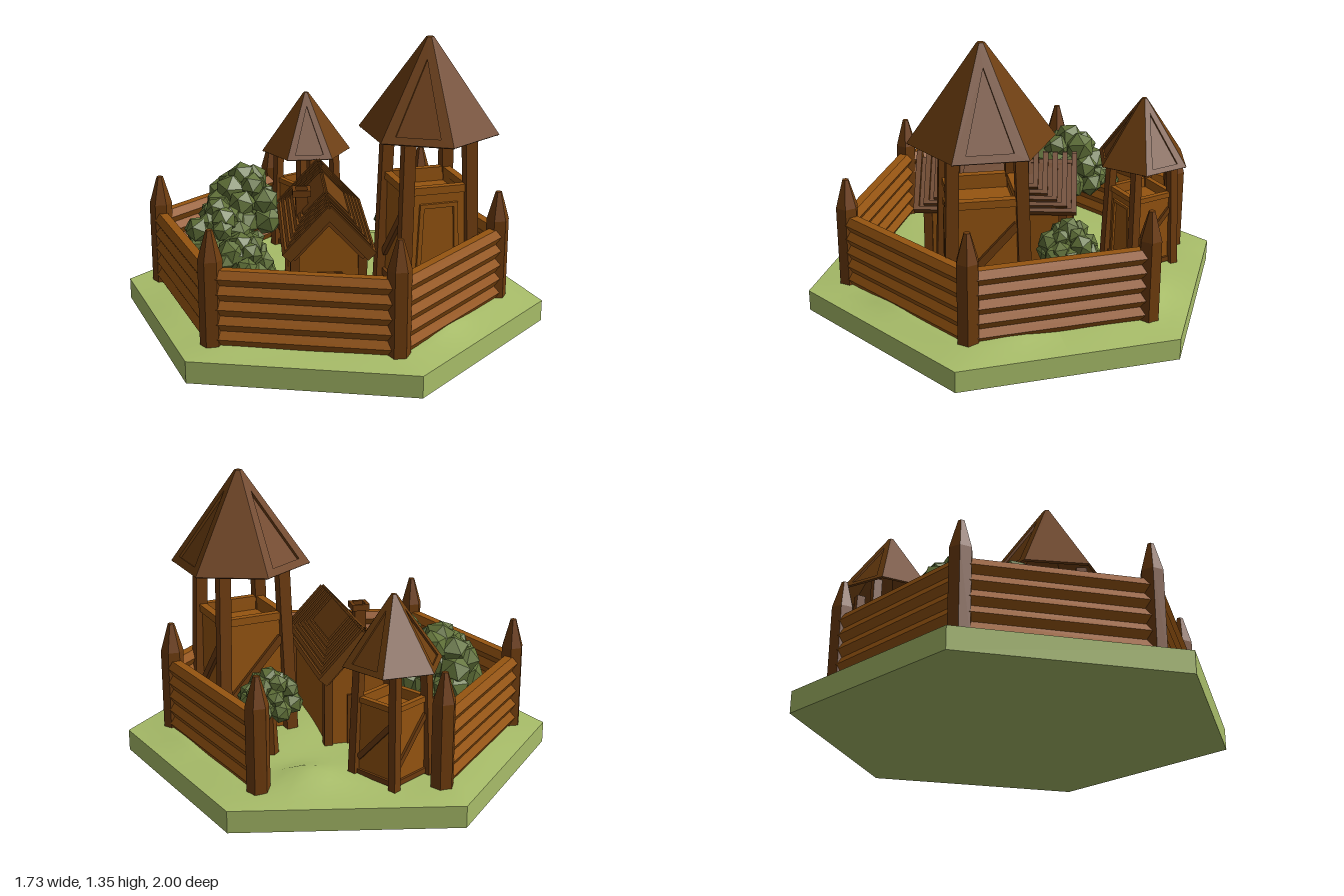
import * as THREE from 'three';

const mat = (color, side = THREE.FrontSide) => {
  const m = new THREE.MeshStandardMaterial({ color, side });
  m.flatShading = true;
  return m;
};
const wood = mat(0x955410), darkWood = mat(0x6e3c0e), roofWood = mat(0x6c3d0f, THREE.DoubleSide);
const leaf = mat(0x62733a), grass = mat(0xa8bd69);
const grassTop = new THREE.MeshStandardMaterial({ color: 0xa8bd69 });

function add(parent, name, geo, material, x = 0, y = 0, z = 0) {
  const m = new THREE.Mesh(geo, material);
  m.name = name;
  m.position.set(x, y, z);
  parent.add(m);
  return m;
}
const box = (w, h, d) => new THREE.BoxGeometry(w, h, d);
const poly = (pts) => new THREE.Shape(pts.map(([x, y]) => new THREE.Vector2(x, y)));
const extrude = (shape, depth) => new THREE.ExtrudeGeometry(shape, { depth, bevelEnabled: false });

// Square beam between two points
function beam(parent, name, a, b, w, material) {
  const p = new THREE.Vector3(...a), q = new THREE.Vector3(...b);
  const m = add(parent, name, box(w, p.distanceTo(q), w), material);
  m.position.copy(p).add(q).multiplyScalar(0.5);
  m.quaternion.setFromUnitVectors(new THREE.Vector3(0, 1, 0), q.sub(p).normalize());
}

// Hexagonal slab with a gently rolling top and a few mounds
function ground() {
  const g = new THREE.Group();
  g.name = 'ground';
  add(g, 'slab', new THREE.CylinderGeometry(1, 1, 0.1, 6, 1), grass, 0, 0.05, 0);
  const mounds = [[0.27, 0.62, 0.032], [0.45, -0.44, 0.048], [0.68, 0.18, 0.026]];
  const top = new THREE.RingGeometry(0.001, 1, 60, 14).rotateX(-Math.PI / 2);
  const p = top.attributes.position, sixth = Math.PI / 3;
  for (let i = 0; i < p.count; i++) {
    const r = Math.hypot(p.getX(i), p.getZ(i));
    const a = (Math.atan2(p.getX(i), p.getZ(i)) + 2 * Math.PI) % sixth;
    const k = Math.cos(sixth / 2) / Math.cos(a - sixth / 2);
    const x = p.getX(i) * k, z = p.getZ(i) * k;
    let bump = 0.018 + 0.005 * Math.sin(7 * x + 1) * Math.cos(6 * z) + 0.005 * Math.sin(11 * z + 5 * x);
    for (const [mx, mz, h] of mounds) bump += h * Math.exp(-((x - mx) ** 2 + (z - mz) ** 2) / 0.018);
    p.setXYZ(i, x, 0.1 + Math.min(1, (1 - r) * 5) * bump, z);
  }
  top.computeVertexNormals();
  add(g, 'grass', top, grassTop);
  return g;
}

// Pointed posts joined by stacked six-sided logs, open on one side
function palisade() {
  const g = new THREE.Group();
  g.name = 'palisade';
  const posts = [[-0.015, -0.805], [-0.715, -0.42], [-0.715, 0.395], [-0.02, 0.8], [0.67, 0.395], [0.67, -0.42]];
  const profile = [[0, 0.1], [0.053, 0.1], [0.053, 0.5], [0.015, 0.632], [0, 0.632]];
  posts.forEach(([x, z], i) => {
    const points = profile.map(([r, y]) => new THREE.Vector2(r, y));
    add(g, 'wallPost', new THREE.LatheGeometry(points, 6), darkWood, x, 0, z).rotation.y = 0.26;
    if (i === posts.length - 1) return;
    const [x2, z2] = posts[i + 1];
    const wall = new THREE.Group();
    wall.name = 'logWall';
    wall.position.set((x + x2) / 2, 0, (z + z2) / 2);
    wall.rotation.y = Math.atan2(x2 - x, z2 - z);
    for (let j = 0; j < 5; j++) {
      const log = new THREE.CylinderGeometry(0.04, 0.04, Math.hypot(x2 - x, z2 - z), 6);
      add(wall, 'log', log.rotateY(Math.PI / 2).rotateX(Math.PI / 2), wood, 0, 0.148 + j * 0.069, 0);
    }
    g.add(wall);
  });
  return g;
}

// Lookout tower: leaning posts, panelled cabin and a hollow hexagonal roof
function tower(name, x, y, z, scale, turn) {
  const g = new THREE.Group();
  g.name = name;
  g.position.set(x, y, z);
  g.scale.setScalar(scale);
  g.rotation.y = turn;

  for (const sx of [-1, 1]) for (const sz of [-1, 1])
    beam(g, 'towerPost', [sx * 0.168, -0.02, sz * 0.168], [sx * 0.143, 0.83, sz * 0.143], 0.055, darkWood);
  add(g, 'platform', box(0.28, 0.025, 0.28), wood, 0, 0.5, 0);

  for (let i = 0; i < 4; i++) {
    const side = new THREE.Group();
    side.name = 'cabinSide';
    side.rotation.y = i * Math.PI / 2;
    add(side, 'panel', box(0.28, 0.56, 0.02), wood, 0, 0.29, 0.14);
    add(side, 'topRail', box(0.28, 0.035, 0.035), wood, 0, 0.562, 0.145);
    add(side, 'bottomRail', box(0.29, 0.035, 0.035), darkWood, 0, 0.08, 0.148);
    if (i === 0) {
      // Door frame on the front
      for (const s of [-1, 1]) beam(side, 'doorJamb', [s * 0.1, 0, 0.155], [s * 0.08, 0.49, 0.155], 0.02, wood);
      beam(side, 'doorLintel', [-0.09, 0.49, 0.155], [0.09, 0.49, 0.155], 0.02, wood);
    } else {
      beam(side, 'brace', [-0.13, 0.18, 0.15], [0.13, 0.46, 0.15], 0.035, darkWood);
    }
    g.add(side);
  }

  const R = 0.323, r = 0.018, H = 0.43, eave = 0.8, c = Math.cos(Math.PI / 6), t = 0.013;
  const slant = Math.hypot((R - r) * c, H), lean = Math.atan2((R - r) * c, H);
  add(g, 'roofLining', new THREE.CylinderGeometry(0.003, R - 0.016, H - 0.004, 6, 1, true), roofWood, 0, eave + H / 2 - 0.002, 0);
  add(g, 'roofCap', new THREE.CylinderGeometry(r, r, 0.004, 6), roofWood, 0, eave + H - 0.002, 0);
  for (let i = 0; i < 6; i++) {
    // Every other roof face has a sunken triangle
    const face = poly([[-R / 2, 0], [R / 2, 0], [r / 2, slant], [-r / 2, slant]]);
    if (i % 2 === 0) face.holes.push(new THREE.Path(poly([[-0.1, 0.035], [0, 0.4], [0.1, 0.035]]).getPoints()));
    const pivot = new THREE.Group();
    pivot.name = 'roofFace';
    pivot.rotation.y = Math.PI / 2 + i * Math.PI / 3;
    add(pivot, 'roofBoards', extrude(face, t).translate(0, 0, -t), roofWood, 0, eave, R * c).rotation.x = -lean;
    g.add(pivot);
  }
  return g;
}

// Long house with nested, stepped roof boards
function house() {
  const g = new THREE.Group();
  g.name = 'house';
  g.position.set(-0.07, 0, 0.075);
  g.rotation.y = -0.31;
  const L = 0.755, half = 0.195, drop = 0.21, ridge = 0.638;
  const gable = poly([[-0.155, 0.1], [0.155, 0.1], [0.155, 0.445], [0, 0.61], [-0.155, 0.445]]);
  add(g, 'houseWalls', extrude(gable, 0.64), wood, 0, 0, -0.32);
  for (const s of [-1, 1]) {
    add(g, 'door', box(0.12, 0.25, 0.02), darkWood, 0, 0.23, s * 0.322);
    for (const e of [-1, 1]) {
      add(g, 'cornerPost', box(0.04, 0.36, 0.04), darkWood, e * 0.15, 0.28, s * 0.315);
      beam(g, 'gableTrim', [0, 0.6, s * 0.33], [e * 0.16, 0.43, s * 0.33], 0.03, darkWood);
    }
  }

  const S = Math.hypot(half, drop) - 0.015, up = 0.022, p = 0.045, q = 0.03, t = 0.03;
  for (const s of [-1, 1]) {
    const slope = new THREE.Group();
    slope.name = 'roofSlope';
    slope.position.y = ridge;
    slope.rotation.set(-Math.atan2(half, drop), s * Math.PI / 2, 0, 'YXZ');
    add(slope, 'roofBase', box(L, S, 0.02), roofWood, 0, -S / 2, -0.01);
    for (let i = 0; i < 5; i++) {
      const a = L / 2 - i * p, b = a - p * 0.55, v = -(S - i * q), w = v + q * 0.6;
      add(slope, 'roofFrame', extrude(poly([[-a, up], [-a, v], [a, v], [a, up], [b, up], [b, w], [-b, w], [-b, up]]), t), roofWood);
    }
    const a = L / 2 - 5 * p, v = -(S - 5 * q);
    add(slope, 'roofCentre', extrude(poly([[-a, v], [a, v], [a, up], [-a, up]]), t), roofWood);
    g.add(slope);
  }

  // Chimney with a hollow square cap
  add(g, 'chimney', box(0.055, 0.16, 0.055), darkWood, -0.105, 0.56, 0.065);
  for (const s of [-1, 1]) {
    add(g, 'chimneyCap', box(0.016, 0.03, 0.084), darkWood, -0.105 + s * 0.034, 0.65, 0.065);
    add(g, 'chimneyCap', box(0.084, 0.03, 0.016), darkWood, -0.105, 0.65, 0.065 + s * 0.034);
  }
  return g;
}

// Tree crown made of faceted clumps over a short trunk, plus a stray tuft
function tree(x, z, spread, top, tuft, seed) {
  const g = new THREE.Group();
  g.name = 'tree';
  const rand = () => ((seed = (seed * 16807) % 2147483647) / 2147483647);
  const low = 0.29, h = top - low;
  add(g, 'trunk', new THREE.CylinderGeometry(0.025, 0.04, 0.27, 6), darkWood, x, 0.22, z);
  const clump = (px, py, pz, r) => {
    const m = add(g, 'leafClump', new THREE.IcosahedronGeometry(r, 0), leaf, px, py, pz);
    m.rotation.set(rand() * 3, rand() * 3, rand() * 3);
  };
  const size = spread * 0.38;
  clump(x, low + h * 0.5, z, spread * 0.6);
  clump(x, top - size * 0.9, z, size);
  [[7, 0.7, 0.32], [6, 0.62, 0.52], [4, 0.36, 0.7]].forEach(([n, d, t], ring) => {
    for (let i = 0; i < n; i++) {
      const a = (i / n) * Math.PI * 2 + ring * 0.5 + rand() * 0.4, k = spread * d;
      clump(x + k * Math.cos(a), low + h * t + (rand() - 0.5) * 0.04, z + k * Math.sin(a), size * (0.85 + rand() * 0.25));
    }
  });
  clump(tuft[0], low + h * 0.3, tuft[1], 0.04);
  clump((tuft[0] * 2 + x) / 3, low + h * 0.35, (tuft[1] * 2 + z) / 3, 0.045);
  return g;
}

export function createModel() {
  const model = new THREE.Group();
  model.name = 'hexagonalFort';
  model.add(
    ground(),
    palisade(),
    tower('tallTower', 0.37, 0.12, 0.255, 1, -0.105),
    tower('shortTower', 0.1, 0.075, -0.59, 0.7, 0.25),
    house(),
    tree(-0.32, -0.36, 0.2, 0.67, [-0.2, -0.55], 11),
    tree(-0.515, -0.145, 0.16, 0.58, [-0.34, -0.1], 23),
    tree(-0.52, 0.22, 0.155, 0.53, [-0.45, 0.06], 37),
    tree(0.44, -0.12, 0.14, 0.53, [0.53, -0.23], 53),
  );
  return model;
}
